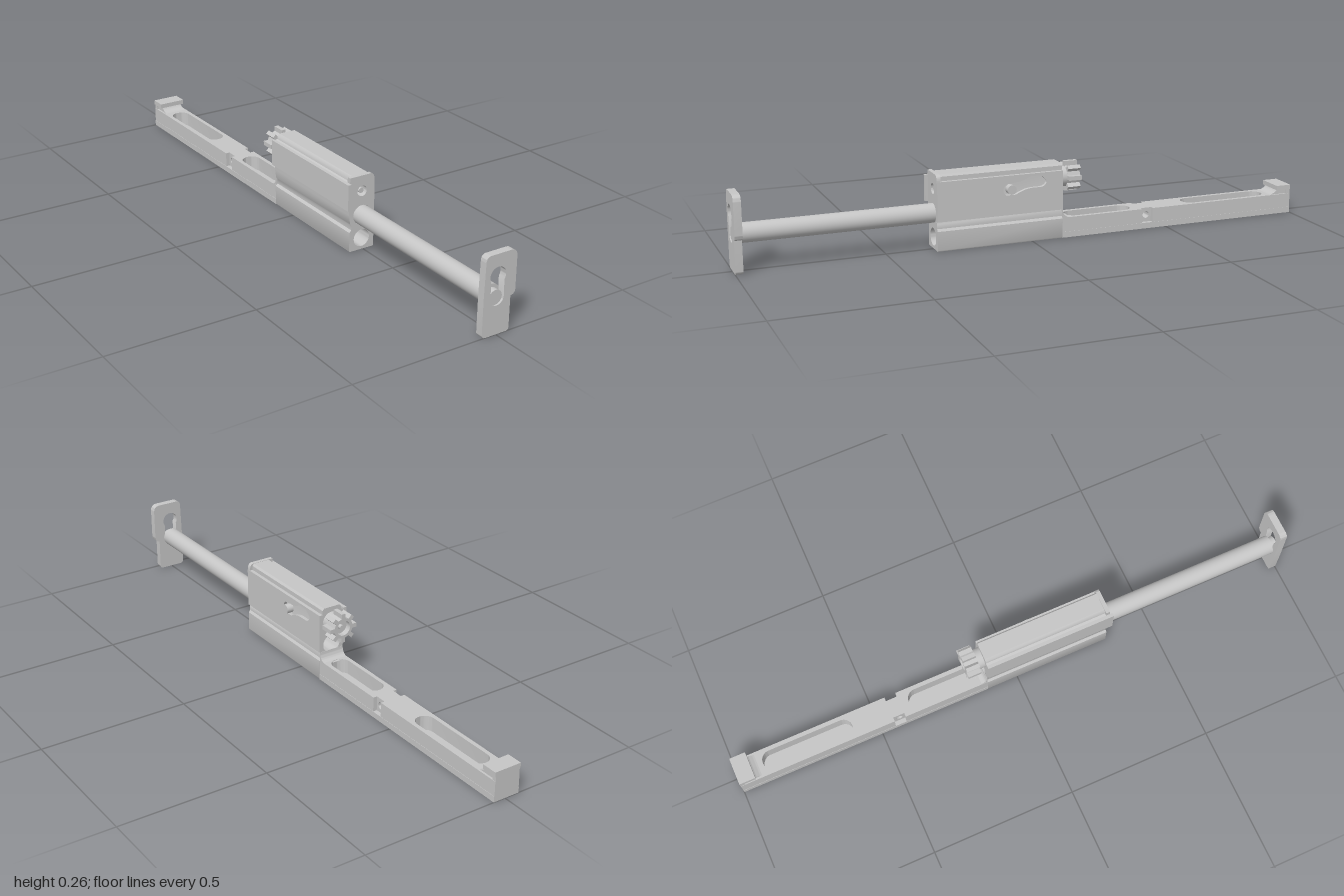
import * as THREE from 'three';
import { toCreasedNormals } from 'three/addons/utils/BufferGeometryUtils.js';

const CX = -0.005; // centre line of the mechanism

export function createModel() {
  const model = new THREE.Group();
  const steel = new THREE.MeshStandardMaterial({ color: 0xc6c6c6 });
  steel.name = 'light steel grey';

  const add = (name, geometry) => {
    const mesh = new THREE.Mesh(geometry, steel);
    mesh.name = name;
    model.add(mesh);
  };
  const poly = pts => new THREE.Shape(pts.map(p => new THREE.Vector2(...p)));
  const circle = (x, y, r) => new THREE.Path().absarc(x, y, r, 0, Math.PI * 2, true);
  const extrude = (shape, depth) => toCreasedNormals(
    new THREE.ExtrudeGeometry(shape, { depth, bevelEnabled: false, curveSegments: 14 }), 0.6);
  // shape in (x, y), from z0 to z1
  const alongZ = (shape, z0, z1) => extrude(shape, z1 - z0).translate(0, 0, z0);
  // shape in (-z, y), from x0 to x1
  const alongX = (shape, x0, x1) => extrude(shape, x1 - x0).rotateY(Math.PI / 2).translate(x0, 0, 0);
  // shape in (x, -z), from y0 to y1
  const alongY = (shape, y0, y1) => extrude(shape, y1 - y0).rotateX(-Math.PI / 2).translate(0, y0, 0);
  const box = (name, x0, x1, y0, y1, z0, z1) =>
    add(name, new THREE.BoxGeometry(x1 - x0, y1 - y0, z1 - z0)
      .translate((x0 + x1) / 2, (y0 + y1) / 2, (z0 + z1) / 2));
  const rod = (name, r, y, z0, z1) =>
    add(name, new THREE.CylinderGeometry(r, r, z1 - z0, 32).rotateX(Math.PI / 2)
      .translate(CX, y, (z0 + z1) / 2));

  // Front plate with a keyhole slot
  const plate = new THREE.Shape();
  plate.moveTo(-0.036, 0);
  plate.lineTo(0.036, 0);
  plate.quadraticCurveTo(0.048, 0, 0.048, 0.012);
  plate.lineTo(0.048, 0.113);
  plate.quadraticCurveTo(0.065, 0.115, 0.065, 0.132);
  plate.lineTo(0.065, 0.235);
  plate.quadraticCurveTo(0.065, 0.26, 0.04, 0.26);
  plate.lineTo(-0.03, 0.26);
  plate.quadraticCurveTo(-0.048, 0.26, -0.048, 0.24);
  plate.lineTo(-0.051, 0.13);
  plate.lineTo(-0.051, 0.012);
  plate.quadraticCurveTo(-0.051, 0, -0.036, 0);
  const keyhole = new THREE.Path();
  keyhole.absarc(-0.002, 0.19, 0.029, -0.6, Math.PI + 0.6, false);
  keyhole.lineTo(-0.027, 0.12);
  keyhole.absarc(-0.002, 0.12, 0.025, Math.PI, Math.PI * 2, false);
  plate.holes.push(keyhole);
  add('frontPlate', alongZ(plate, 0.975, 1));

  // Operating rod and its tip in the keyhole
  rod('operatingRod', 0.0325, 0.122, 0, 0.976);
  rod('rodTip', 0.024, 0.12, 0.97, 0.996);

  // Carriage body: cross-section with bores
  const body = poly([
    [-0.05, 0], [0.04, 0], [0.042, 0.004], [0.042, 0.068], [0.036, 0.076], [0.036, 0.092],
    [0.031, 0.1], [0.031, 0.25], [0.025, 0.257], [-0.035, 0.257], [-0.042, 0.25], [-0.044, 0.24],
    [-0.054, 0.236], [-0.054, 0.13], [-0.05, 0.1], [-0.045, 0.092], [-0.045, 0.076],
    [-0.052, 0.068], [-0.052, 0.004]]);
  body.holes.push(circle(CX, 0.04, 0.03), circle(CX, 0.122, 0.033), circle(CX, 0.204, 0.018));
  add('carriageBody', alongZ(body, -0.11, 0.335));
  rod('innerPin', 0.009, 0.204, -0.1, 0.33);

  // Raised flange across the front top of the body
  const flange = new THREE.Shape();
  flange.moveTo(-0.052, 0.232);
  flange.lineTo(0.042, 0.232);
  flange.quadraticCurveTo(0.042, 0.258, 0.026, 0.258);
  flange.lineTo(-0.052, 0.258);
  add('frontFlange', alongZ(flange, 0.322, 0.336));

  // Side wall with a cam slot
  const wall = poly([[-0.335, 0.1], [0.11, 0.1], [0.11, 0.235], [-0.335, 0.235]]);
  const camSlot = new THREE.Path();
  camSlot.moveTo(-0.095, 0.168);
  camSlot.lineTo(-0.06, 0.168);
  camSlot.quadraticCurveTo(-0.03, 0.185, 0, 0.186);
  camSlot.lineTo(0.03, 0.186);
  camSlot.quadraticCurveTo(0.052, 0.19, 0.05, 0.208);
  camSlot.lineTo(0.03, 0.226);
  camSlot.lineTo(-0.01, 0.226);
  camSlot.quadraticCurveTo(-0.035, 0.21, -0.065, 0.21);
  camSlot.lineTo(-0.095, 0.206);
  camSlot.quadraticCurveTo(-0.115, 0.187, -0.095, 0.168);
  wall.holes.push(camSlot);
  add('camWall', alongX(wall, 0.031, 0.043));
  add('camPin', new THREE.CylinderGeometry(0.016, 0.016, 0.026, 24).rotateZ(Math.PI / 2)
    .translate(0.042, 0.188, 0.078));

  // Guide strip on the other side
  box('guideStrip', -0.065, -0.053, 0.15, 0.24, -0.11, 0.345);

  // Hollow fillet between the body and the rail
  const fillet = new THREE.Shape();
  fillet.moveTo(0.109, 0.068);
  fillet.lineTo(0.142, 0.068);
  fillet.quadraticCurveTo(0.112, 0.07, 0.111, 0.1);
  fillet.lineTo(0.109, 0.1);
  add('rearFillet', alongX(fillet, -0.05, 0.041));

  // Rotating lugged head
  rod('headNeck', 0.035, 0.204, -0.14, -0.109);
  const lugs = 8, outline = [];
  for (let i = 0; i < lugs; i++) {
    const a = (i / lugs) * Math.PI * 2;
    for (const [r, d] of [[0.036, -0.2], [0.052, -0.14], [0.052, 0.14], [0.036, 0.2]]) {
      outline.push([CX + r * Math.cos(a + d), 0.205 + r * Math.sin(a + d)]);
    }
  }
  const head = poly(outline);
  head.holes.push(circle(CX, 0.205, 0.026));
  add('luggedHead', alongZ(head, -0.178, -0.132));
  rod('headFace', 0.027, 0.205, -0.158, -0.132);
  rod('headPin', 0.008, 0.205, -0.17, -0.15);

  // Rail: floor, two slotted lengths and the notched bridge between them
  box('railFloor', -0.052, 0.042, 0, 0.02, -1, -0.11);
  const slotted = (name, z0, z1, s0, s1) => {
    const shape = poly([[-0.051, -z1], [0.041, -z1], [0.041, -z0], [-0.051, -z0]]);
    const r = 0.032, slot = new THREE.Path();
    slot.absarc(CX, -s1 + r, r, Math.PI, Math.PI * 2, false);
    slot.absarc(CX, -s0 - r, r, 0, Math.PI, false);
    shape.holes.push(slot);
    add(name, alongY(shape, 0.02, 0.07));
  };
  slotted('railFront', -0.41, -0.11, -0.38, -0.135);
  slotted('railRear', -1, -0.45, -0.905, -0.585);
  const bridge = poly([[0.41, 0.02], [0.45, 0.02], [0.45, 0.07], [0.41, 0.07]]);
  bridge.holes.push(circle(0.43, 0.045, 0.012));
  add('notchedBridge', alongX(bridge, -0.037, 0.027));

  // Rear stop with an overhanging lip
  const stop = new THREE.Shape();
  stop.moveTo(0.915, 0.069);
  stop.lineTo(1, 0.069);
  stop.lineTo(1, 0.09);
  stop.lineTo(0.952, 0.09);
  stop.quadraticCurveTo(0.945, 0.072, 0.915, 0.069);
  add('rearStop', alongX(stop, -0.044, 0.034));
  box('rearLip', -0.053, 0.043, 0.086, 0.102, -1, -0.945);
  box('rearEnd', -0.05, 0.04, 0.069, 0.09, -1, -0.985);

  return model;
}
